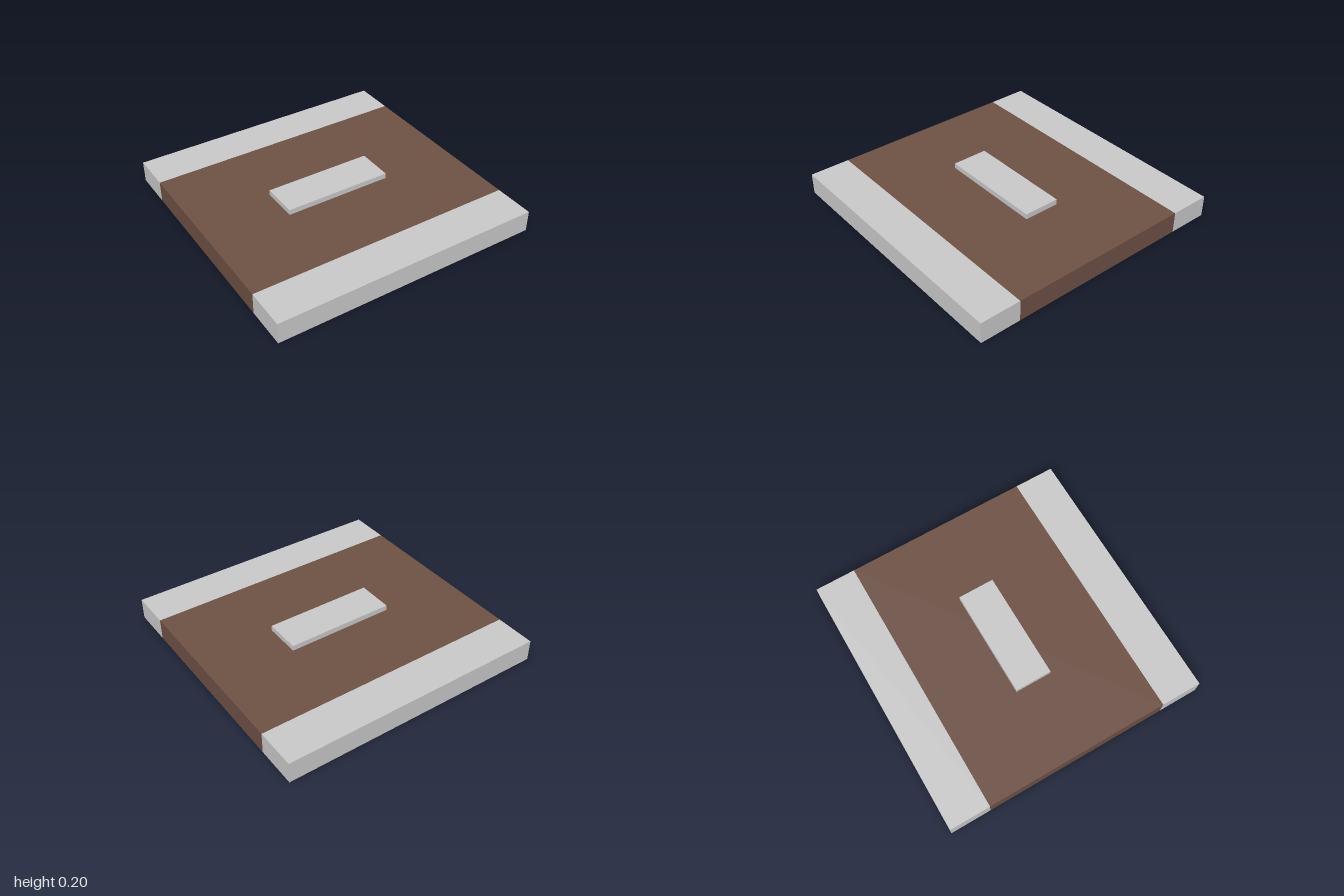
import * as THREE from 'three';

export function createModel() {
  const model = new THREE.Group();
  model.name = 'bandedSlab';

  const grey = new THREE.MeshStandardMaterial({ color: 0xcacaca });
  grey.name = 'light grey';
  const brown = new THREE.MeshStandardMaterial({ color: 0x6e5145 });
  brown.name = 'brown';

  const slabHeight = 0.16;
  const bandEdge = 0.695;

  // Adds a box resting on height y
  function addBox(name, material, [w, h, d], y, z = 0) {
    const mesh = new THREE.Mesh(new THREE.BoxGeometry(w, h, d), material);
    mesh.name = name;
    mesh.position.set(0, y + h / 2, z);
    model.add(mesh);
  }

  // Wide middle band of the slab
  addBox('middleBand', brown, [2, slabHeight, bandEdge * 2], 0);

  // Matching end strips at front and back
  const stripDepth = 1 - bandEdge;
  for (const [name, side] of [['frontStrip', 1], ['backStrip', -1]]) {
    addBox(name, grey, [2, slabHeight, stripDepth], 0, side * (bandEdge + stripDepth / 2));
  }

  // Raised plate in the centre of the top
  addBox('topPlate', grey, [0.81, 0.04, 0.275], slabHeight);

  return model;
}
